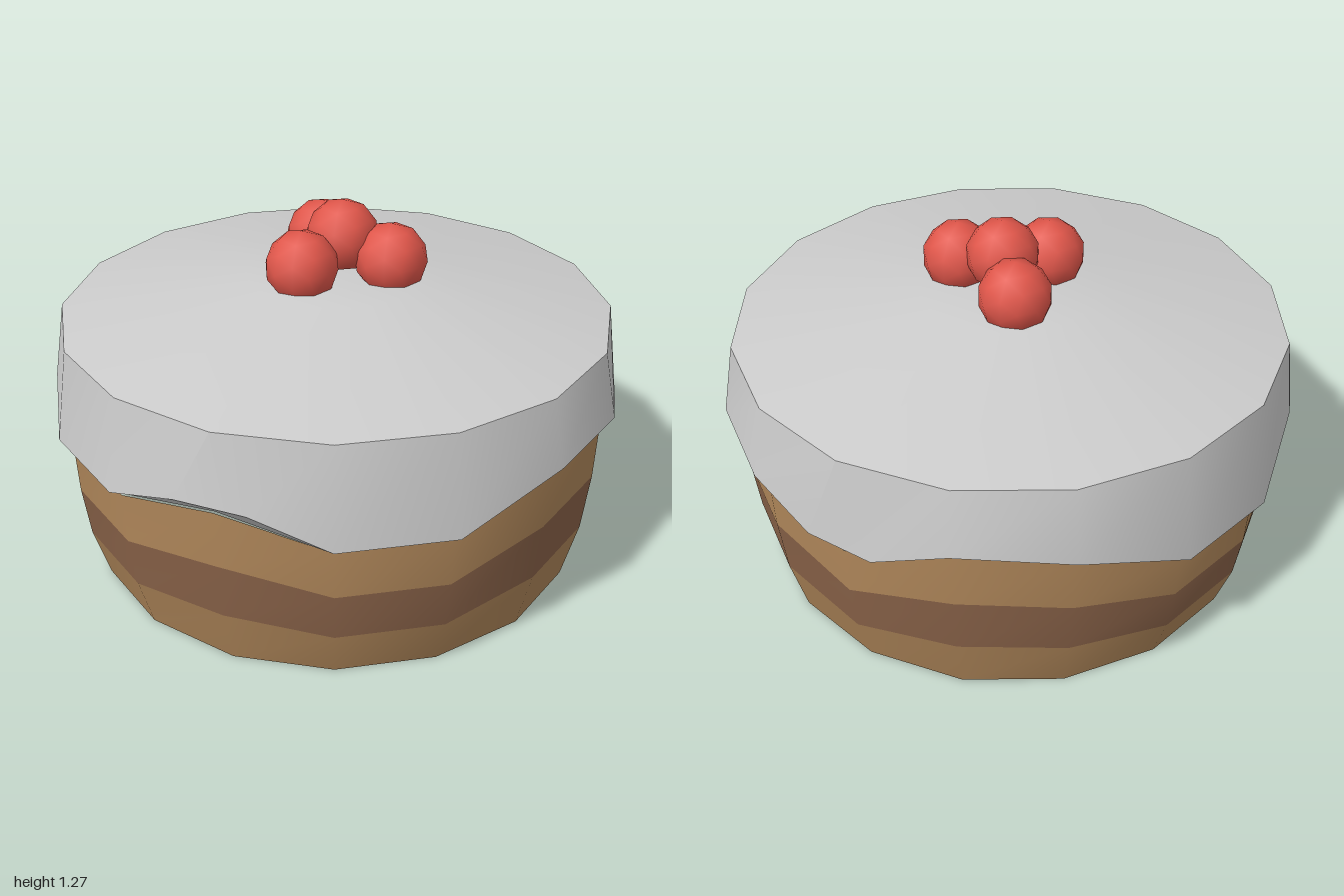
import * as THREE from 'three';

const SIDES = 16;
// Height of the icing edge at each spoke, starting at the front and turning toward +x
const DRIP = [0.57, 0.64, 0.545, 0.545, 0.66, 0.66, 0.585, 0.64, 0.64, 0.56, 0.666, 0.635, 0.515, 0.51, 0.65, 0.57];
// Spokes whose icing edge is split in two: spoke -> half angle in degrees
const SPLIT = { 1: 7.2, 6: 6.5, 9: 7.2, 14: 3.5 };

const polar = (deg, r, y) => {
  const a = THREE.MathUtils.degToRad(deg);
  return new THREE.Vector3(Math.sin(a) * r, y, Math.cos(a) * r);
};

// Skin between closed rings, ordered so that faces point outward from bottom to top
function loft(rings) {
  const n = rings[0].length;
  const index = [];
  for (let r = 0; r < rings.length - 1; r++) {
    for (let i = 0; i < n; i++) {
      const a = r * n + i, b = r * n + (i + 1) % n;
      index.push(a, b, b + n, a, b + n, a + n);
    }
  }
  const geometry = new THREE.BufferGeometry().setFromPoints(rings.flat());
  geometry.setIndex(index);
  geometry.computeVertexNormals();
  return geometry;
}

function addMesh(parent, name, geometry, color) {
  const mesh = new THREE.Mesh(geometry, new THREE.MeshStandardMaterial({ color }));
  mesh.name = name;
  parent.add(mesh);
  return mesh;
}

export function createModel() {
  const group = new THREE.Group();
  group.name = 'cake';
  const sponge = 0xb0875a, filling = 0x8a6349, icing = 0xcccccc, red = 0xe0564a;
  const step = 360 / SIDES;

  // Three sponge layers, each following the wave of the icing edge
  const cakeRadii = [0.86, 0.915, 0.94, 0.95];
  const cakeRing = (level) => DRIP.map((y, k) => polar(k * step, cakeRadii[level], (y - 0.03) * level / 3));
  ['lowerSponge', 'fillingLayer', 'upperSponge'].forEach((name, i) => {
    addMesh(group, name, loft([cakeRing(i), cakeRing(i + 1)]), i === 1 ? filling : sponge);
  });

  // Underside
  const base = addMesh(group, 'cakeBase', new THREE.CircleGeometry(cakeRadii[0], SIDES), sponge);
  base.rotation.x = Math.PI / 2;

  // Icing edge points: one per spoke, two where the edge is split
  const edge = [];
  DRIP.forEach((y, k) => {
    const half = SPLIT[k] || 0;
    const offsets = half ? [-half, half] : [0];
    offsets.forEach((o) => edge.push({ spoke: k * step, deg: k * step + o, r: half ? 0.98 : 0.995, y }));
  });
  const tuck = edge.map((e) => polar(e.spoke, 0.94, e.y - 0.03));
  const rim = edge.map((e) => polar(e.deg, e.r, e.y));
  const shoulder = edge.map((e) => polar(e.spoke, 0.95, 0.89));
  addMesh(group, 'icingLip', loft([tuck, rim]), icing);
  addMesh(group, 'icingSide', loft([rim, shoulder]), icing);

  // Gently domed icing top with a flat middle
  const topRing = (r, y) => DRIP.map((_, k) => polar(k * step, r, y));
  addMesh(group, 'icingTop', loft([topRing(0.95, 0.89), topRing(0.31, 1.02), topRing(0, 1.02)]), icing);

  // Pile of four berries
  const berries = new THREE.Group();
  berries.name = 'berries';
  group.add(berries);
  [[0, 1.145, -0.03], [0, 1.085, 0.16], [0.163, 1.085, -0.1], [-0.16, 1.085, -0.09]].forEach((p) => {
    addMesh(berries, 'berry', new THREE.IcosahedronGeometry(0.125, 1), red).position.set(...p);
  });

  return group;
}
